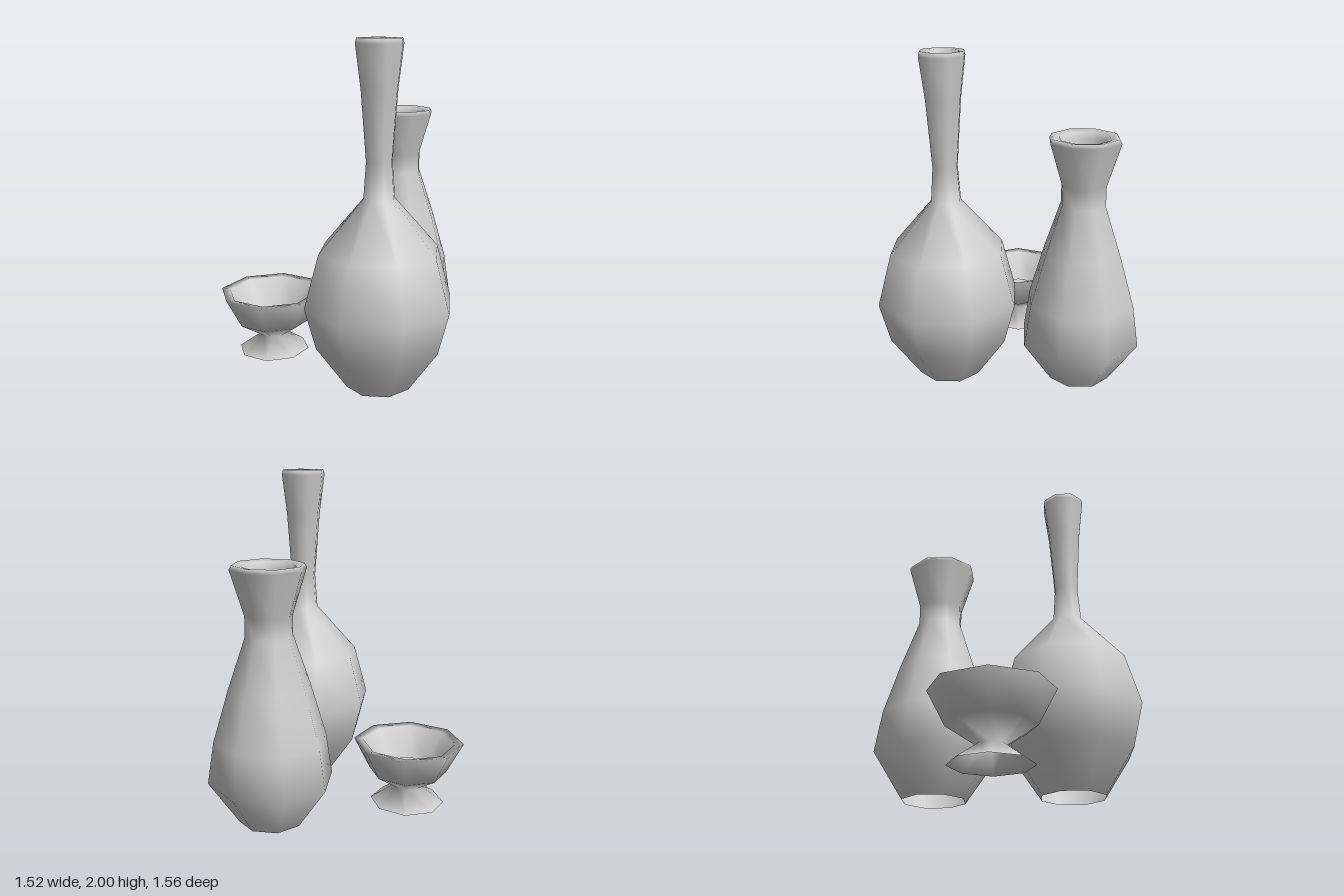
import * as THREE from 'three';

const material = new THREE.MeshStandardMaterial({ color: 0xcccccc, side: THREE.DoubleSide });

// Eight-sided turned vessel; profile runs up the outside, over the lip and down the inside
function vessel(name, x, z, corner, profile) {
  const points = profile.map(([r, y]) => new THREE.Vector2(r, y));
  const phi = THREE.MathUtils.degToRad(90 - corner);
  const mesh = new THREE.Mesh(new THREE.LatheGeometry(points, 8, phi), material);
  mesh.name = name;
  mesh.position.set(x, 0, z);
  return mesh;
}

export function createModel() {
  const group = new THREE.Group();
  group.name = 'vases';

  // Round body with a long, thin flared neck
  group.add(vessel('tallVase', -0.18, 0.363, 20, [
    [0.195, 0], [0.375, 0.26], [0.44, 0.51], [0.354, 0.82], [0.093, 1.12],
    [0.077, 1.33], [0.107, 1.73], [0.138, 1.97], [0.131, 2],
    [0.1, 1.995], [0.088, 1.95], [0.067, 1.7], [0.067, 1.33],
  ]));

  // Pear-shaped body with a short, wide neck
  group.add(vessel('pearVase', 0.408, -0.195, 20, [
    [0.193, 0], [0.37, 0.26], [0.332, 0.51], [0.24, 0.82], [0.138, 1.12],
    [0.138, 1.24], [0.218, 1.5], [0.205, 1.525],
    [0.155, 1.515], [0.14, 1.47], [0.095, 1.24], [0.095, 1.12],
  ]));

  // Low bowl on a flared foot
  group.add(vessel('footedBowl', -0.425, -0.445, -2.5, [
    [0.225, 0], [0.08, 0.1], [0.235, 0.2], [0.335, 0.39],
    [0.28, 0.385], [0.17, 0.21],
  ]));

  return group;
}
